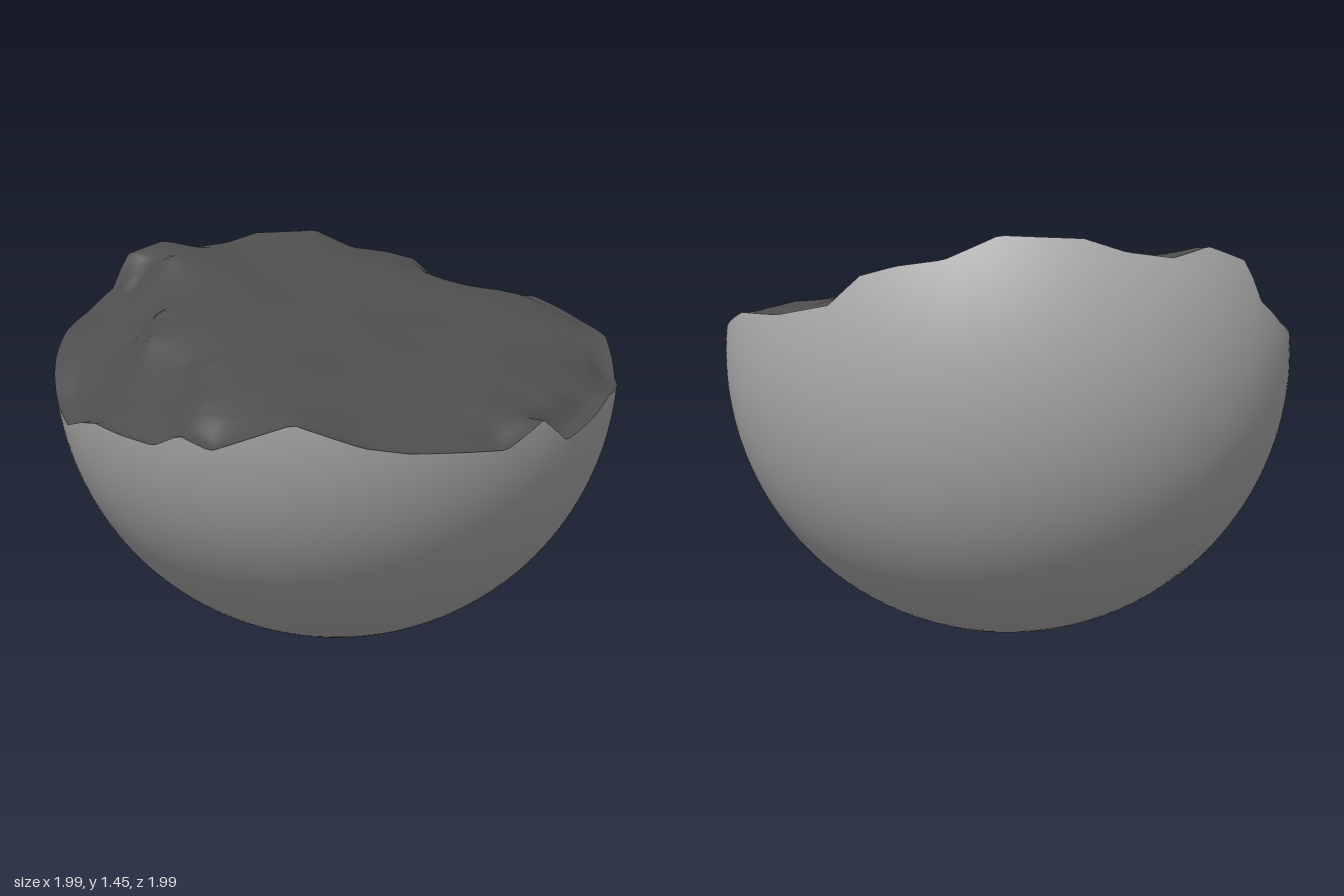
import * as THREE from 'three';

const SEG = 240;

// Broken rim: [angle in degrees from +x towards +z, height]
const RIM = [
  [0, 0.89], [8, 0.81], [27, 0.82], [35, 0.84], [47, 0.91], [62, 0.82], [68, 0.86], [74, 0.82],
  [83, 0.84], [90, 0.86], [96, 0.85], [105, 0.82], [114, 0.88], [124, 1.0], [135, 1.09], [147, 1.15],
  [156, 1.23], [158.5, 1.36], [170, 1.41], [180, 1.38], [190, 1.4], [198, 1.44], [214, 1.45], [224, 1.38],
  [233, 1.36], [240, 1.33], [246, 1.24], [259, 1.2], [274, 1.19], [291, 1.11], [304, 1.07], [314, 0.93],
  [323, 0.93], [335, 0.92], [342, 0.87], [352, 0.81], [360, 0.89],
];

// Interior of the fracture: [x, z, height]
const INNER = [
  // upper edge of the front ledge
  [-0.78, 0.26, 1.37], [-0.66, 0.28, 1.355], [-0.5, 0.36, 1.24], [-0.36, 0.52, 1.17], [-0.2, 0.66, 1.1],
  [0, 0.57, 1.08], [0.14, 0.65, 1.04], [0.3, 0.78, 0.95], [0.36, 0.71, 0.96], [0.62, 0.71, 0.93],
  // sloping face below the ledge
  [-0.77, 0.36, 1.24], [-0.54, 0.43, 1.17], [-0.4, 0.59, 1.08], [-0.21, 0.73, 1.0],
  [0, 0.64, 1.02], [0.13, 0.73, 0.96],
  // main slope with its ridges
  [-0.6, 0, 1.34], [-0.6, -0.4, 1.39], [-0.3, -0.6, 1.31], [-0.3, 0, 1.23], [-0.1, 0.3, 1.17],
  [0, -0.3, 1.2], [0.05, -0.8, 1.22], [0.2, -0.6, 1.18], [0.2, -0.38, 1.12], [0.1, 0, 1.15],
  [0.3, -0.1, 1.07], [0.32, 0.25, 1.03], [0.3, 0.5, 1.03], [0.45, -0.65, 1.09],
  [0.6, -0.3, 1.02], [0.6, 0.2, 0.99], [0.82, 0.1, 0.93], [0.85, -0.2, 0.94],
];

const slope = (x) => 1.15 - 0.28 * x;

function rimHeight(deg) {
  const i = Math.max(1, RIM.findIndex((p) => p[0] >= deg));
  const [a0, y0] = RIM[i - 1], [a1, y1] = RIM[i];
  return THREE.MathUtils.lerp(y0, y1, (deg - a0) / (a1 - a0));
}

// Point on the unit ball (resting on y = 0) at a given angle and height
function onBall(deg, y) {
  const a = THREE.MathUtils.degToRad(deg);
  const r = Math.sqrt(Math.max(0, 1 - (y - 1) ** 2));
  return [r * Math.cos(a), y, r * Math.sin(a)];
}

const CONTROLS = INNER.concat(RIM.slice(0, -1).map(([deg, h]) => {
  const [x, y, z] = onBall(deg, h);
  return [x, z, y];
}));

const influence = (x, z, c) => Math.exp(-Math.hypot(x - c[0], z - c[1]));

// Weights that make the surface pass through every control point
function solveWeights() {
  const n = CONTROLS.length;
  const m = CONTROLS.map((p) => [...CONTROLS.map((c) => influence(p[0], p[1], c)), p[2] - slope(p[0])]);
  for (let i = 0; i < n; i++)
    for (let r = i + 1; r < n; r++) {
      const f = m[r][i] / m[i][i];
      for (let c = i; c <= n; c++) m[r][c] -= f * m[i][c];
    }
  const w = new Array(n).fill(0);
  for (let i = n - 1; i >= 0; i--) {
    let v = m[i][n];
    for (let c = i + 1; c < n; c++) v -= m[i][c] * w[c];
    w[i] = v / m[i][i];
  }
  return w;
}

const WEIGHTS = solveWeights();

// Fracture height: a tilted plane plus the interpolated relief
const fractureHeight = (x, z) =>
  CONTROLS.reduce((h, c, i) => h + WEIGHTS[i] * influence(x, z, c), slope(x));

// Closed-around grid of rings; point(t, deg) gives each vertex
function ringSurface(rows, point) {
  const pos = [], index = [];
  for (let i = 0; i <= rows; i++)
    for (let j = 0; j < SEG; j++) pos.push(...point(i / rows, (j * 360) / SEG));
  for (let i = 0; i < rows; i++)
    for (let j = 0; j < SEG; j++) {
      const a = i * SEG + j, b = i * SEG + ((j + 1) % SEG);
      index.push(a, b, a + SEG, b, b + SEG, a + SEG);
    }
  const g = new THREE.BufferGeometry();
  g.setAttribute('position', new THREE.Float32BufferAttribute(pos, 3));
  g.setIndex(index);
  g.computeVertexNormals();
  return g;
}

function addPart(group, name, geometry, color) {
  const mesh = new THREE.Mesh(geometry, new THREE.MeshStandardMaterial({ color }));
  mesh.name = name;
  group.add(mesh);
}

export function createModel() {
  const group = new THREE.Group();
  group.name = 'brokenBall';

  // Smooth round shell, from the rim down to the lowest point
  const shell = ringSurface(40, (t, deg) => {
    const top = Math.asin(rimHeight(deg) - 1);
    return onBall(deg, 1 + Math.sin(THREE.MathUtils.lerp(top, -Math.PI / 2, t)));
  });
  const p = shell.attributes.position, n = shell.attributes.normal;
  for (let i = 0; i < p.count; i++) n.setXYZ(i, p.getX(i), p.getY(i) - 1, p.getZ(i));
  addPart(group, 'roundShell', shell, 0xaaaaaa);

  // Rough fracture surface closing the top
  const fracture = ringSurface(56, (t, deg) => {
    const [rx, ry, rz] = onBall(deg, rimHeight(deg));
    const x = rx * t, z = rz * t;
    const k = THREE.MathUtils.smoothstep(t, 0.9, 1);
    return [x, THREE.MathUtils.lerp(fractureHeight(x, z), ry, k), z];
  });
  // shared normal where the rings meet at the centre
  for (let j = 0; j < SEG; j++) fracture.attributes.normal.setXYZ(j, 0.27, 0.96, 0);
  addPart(group, 'fractureSurface', fracture, 0x4d4d4d);

  return group;
}
